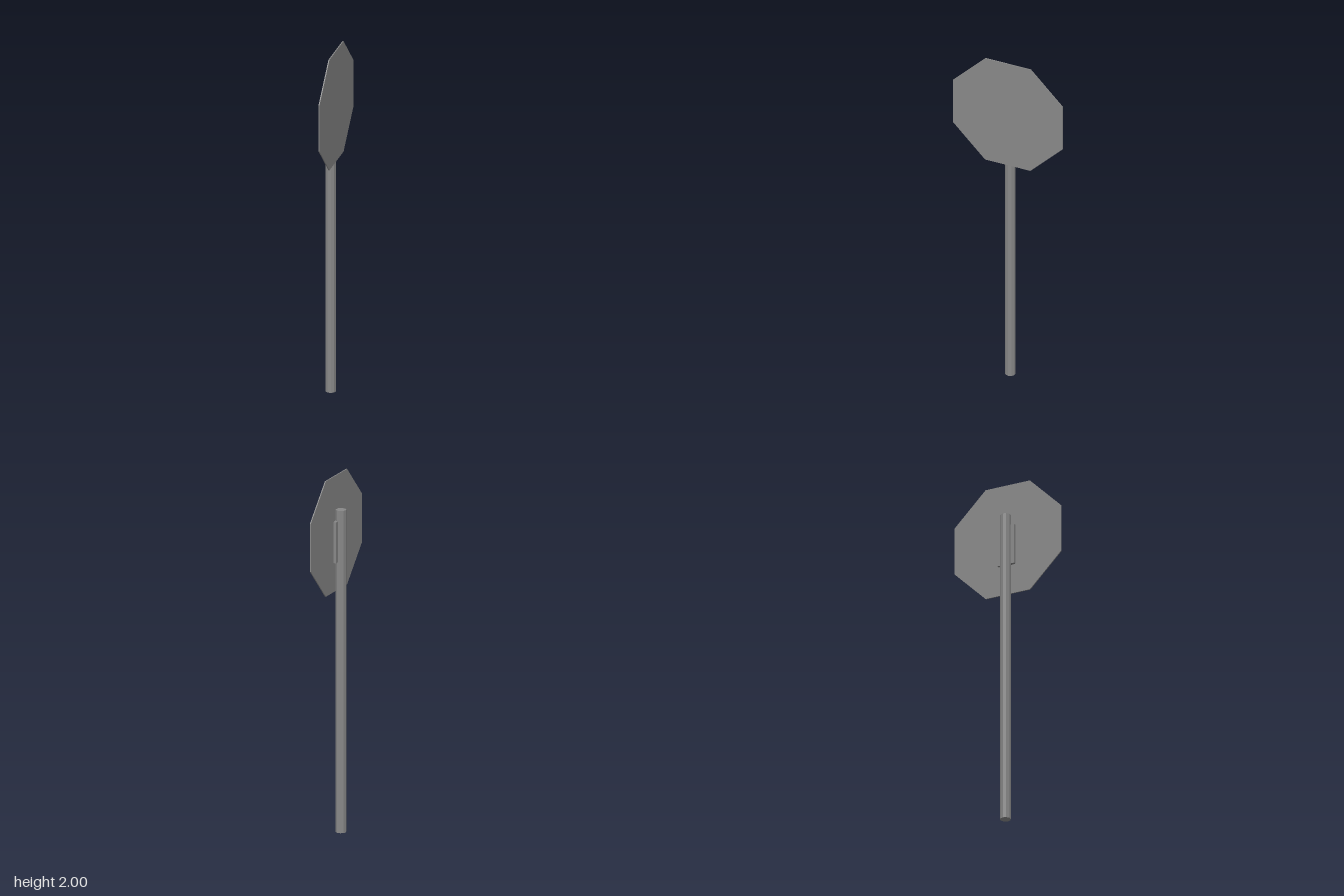
import * as THREE from 'three';

const material = new THREE.MeshStandardMaterial({ color: 0x888888, flatShading: true });

function part(name, geometry) {
  const mesh = new THREE.Mesh(geometry, material);
  mesh.name = name;
  return mesh;
}

// Straight extrusion of a closed outline
function slab(points, depth) {
  const shape = new THREE.Shape(points.map(([x, y]) => new THREE.Vector2(x, y)));
  return new THREE.ExtrudeGeometry(shape, { depth, bevelEnabled: false });
}

export function createModel() {
  const group = new THREE.Group();
  group.name = 'roadSign';

  // Ten-sided post with an edge towards the panel
  const postHeight = 1.81;
  const post = part('post', new THREE.CylinderGeometry(0.0295, 0.0295, postHeight, 10).rotateY(Math.PI / 2));
  post.position.y = postHeight / 2;
  group.add(post);

  // Thin octagonal panel facing +x
  const w = 0.326, h = 0.324, c = 0.135;
  const octagon = [[c, -h], [w, -c], [w, c], [c, h], [-c, h], [-w, c], [-w, -c], [-c, -h]];
  const panel = part('signPanel', slab(octagon, 0.006).rotateY(Math.PI / 2));
  panel.position.set(0.0265, 1.676, 0);
  group.add(panel);

  // Bracket behind the panel, tapering towards its ends
  const profile = [[0.005, -0.051], [0.02, -0.051], [0.0265, -0.012],
    [0.0265, 0.012], [0.02, 0.051], [0.005, 0.051]];
  const bracket = part('bracket', slab(profile, 0.23).rotateX(-Math.PI / 2));
  bracket.position.y = 1.52;
  group.add(bracket);

  return group;
}
